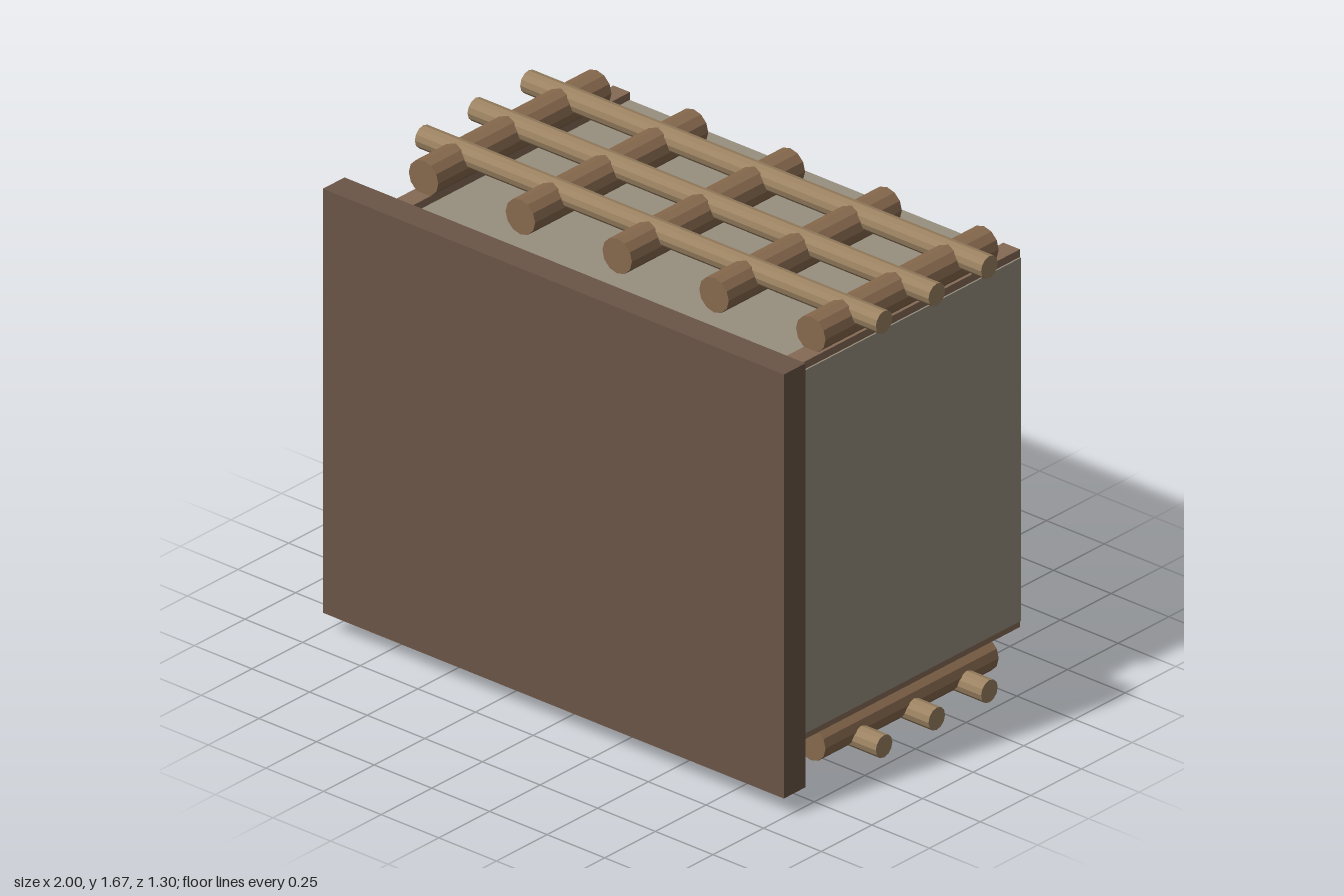
import * as THREE from 'three';

const mat = (color) => new THREE.MeshStandardMaterial({ color, flatShading: true });
const stone = mat(0x979080), darkWood = mat(0x6b5546), frameWood = mat(0x856a55);
const logWood = mat(0x86694d), poleWood = mat(0x9c8262), brass = mat(0xa08f60);

// Box given by its extents along each axis
function box(name, material, [x0, x1], [y0, y1], [z0, z1]) {
  const mesh = new THREE.Mesh(new THREE.BoxGeometry(x1 - x0, y1 - y0, z1 - z0), material);
  mesh.position.set((x0 + x1) / 2, (y0 + y1) / 2, (z0 + z1) / 2);
  mesh.name = name;
  return mesh;
}

// Log lying along x or z
function log(name, material, axis, radius, length, x, y, z) {
  const geometry = new THREE.CylinderGeometry(radius, radius, length, 12);
  if (axis === 'x') geometry.rotateZ(Math.PI / 2);
  else geometry.rotateX(Math.PI / 2);
  const mesh = new THREE.Mesh(geometry, material);
  mesh.position.set(x, y, z);
  mesh.name = name;
  return mesh;
}

// Lattice of thick logs crossed by thin poles; dir is +1 on the roof, -1 underneath
function lattice(name, dir) {
  const group = new THREE.Group();
  group.name = name;
  const mid = 0.8475;
  for (let i = -2; i <= 2; i++) {
    group.add(log('thickLog', logWood, 'z', 0.064, 0.855, i * 0.42, mid + dir * 0.7495, -0.0925));
  }
  for (const z of [0.155, -0.105, -0.365]) {
    group.add(log('thinPole', poleWood, 'x', 0.041, 2, 0, mid + dir * 0.7775, z));
  }
  return group;
}

export function createModel() {
  const model = new THREE.Group();

  // Main block and the front slab
  model.add(box('body', stone, [-0.888, 0.888], [0.18, 1.512], [-0.649, 0.505]));
  model.add(box('frontPanel', darkWood, [-1, 1], [0.07, 1.625], [0.543, 0.65]));

  // Side frames showing along the edges of the block
  for (const s of [-1, 1]) {
    const x = s < 0 ? [-0.882, -0.81] : [0.81, 0.882];
    model.add(box('sideFrame', frameWood, x, [0.155, 1.54], [-0.65, 0.545]));
  }

  model.add(lattice('topLattice', 1), lattice('bottomLattice', -1));

  // Plates on the underside
  model.add(box('recessPlate', darkWood, [-0.19, 0.19], [0.13, 0.19], [-0.65, -0.2]));
  model.add(box('centrePlate', darkWood, [-0.19, 0.19], [0.01, 0.035], [-0.39, -0.04]));
  for (const x of [-0.4, 0.4]) {
    model.add(box('smallPlate', brass, [x - 0.12, x + 0.12], [0, 0.032], [-0.045, 0.1]));
  }
  return model;
}
